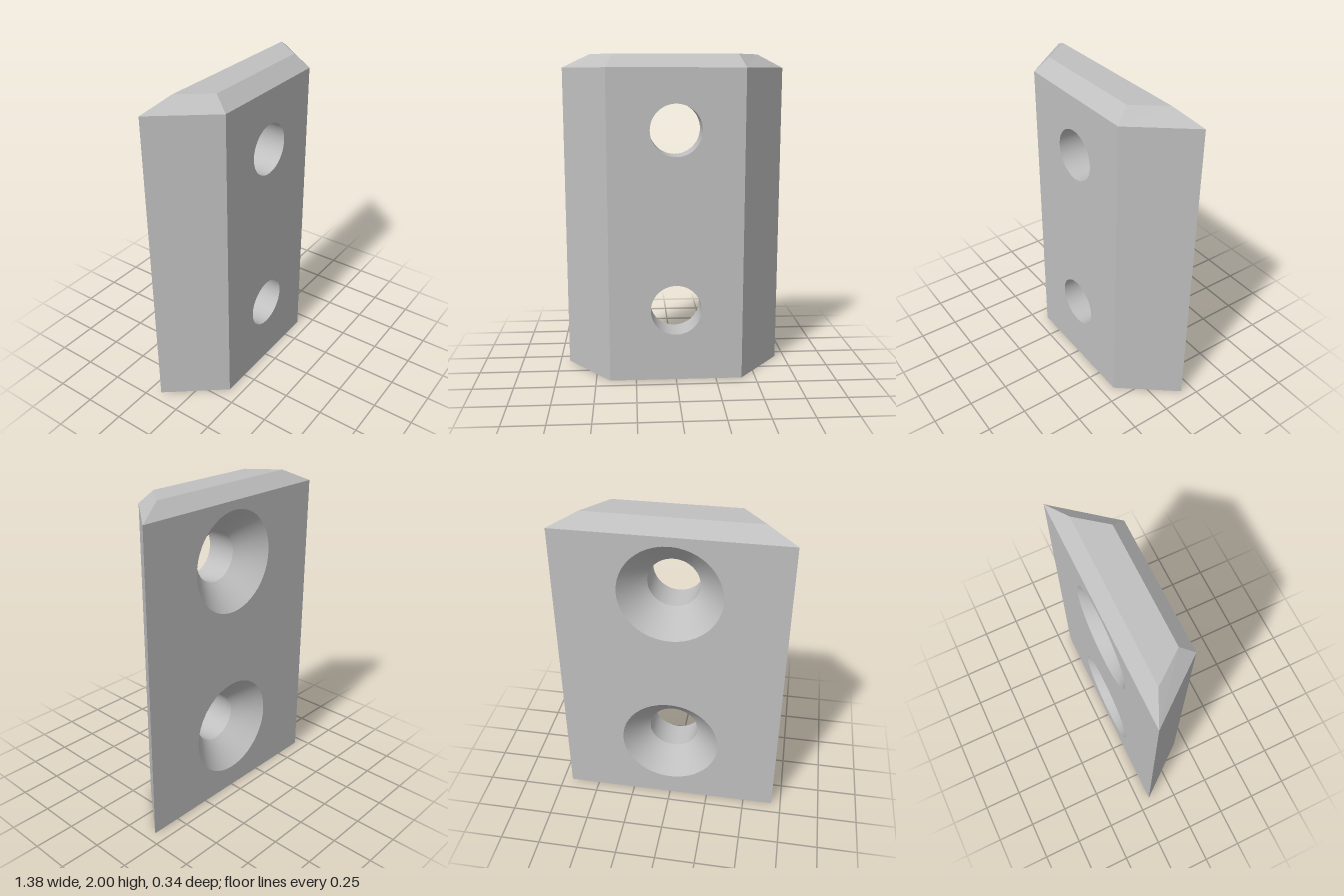
import * as THREE from 'three';

const BACK = -0.172, FRONT = 0.172, BACK_HALF = 0.69, FRONT_HALF = 0.413;
const SHOULDER = 1.92, TOP = 2;
const HOLE_Y = [0.45, 1.555], BORE_R = 0.157, SINK_R = 0.31, SINK_END = -0.019;

// Trapezoid outline at one height: front edge, then back edge
const ring = (y, frontHalf, front, backHalf, back) => [
  [-frontHalf, y, front], [frontHalf, y, front], [backHalf, y, back], [-backHalf, y, back],
];

// Separate flat quads, corners anticlockwise from outside
function quads(list) {
  const pos = list.flatMap(([a, b, c, d]) => [a, b, c, a, c, d].flat());
  const g = new THREE.BufferGeometry();
  g.setAttribute('position', new THREE.Float32BufferAttribute(pos, 3));
  g.computeVertexNormals();
  return g;
}

// Flat rectangle with the two round openings
function drilledFace(half, radius) {
  const s = new THREE.Shape([
    new THREE.Vector2(-half, 0), new THREE.Vector2(half, 0),
    new THREE.Vector2(half, SHOULDER), new THREE.Vector2(-half, SHOULDER),
  ]);
  for (const y of HOLE_Y) s.holes.push(new THREE.Path().absarc(0, y, radius, 0, Math.PI * 2, true));
  return new THREE.ShapeGeometry(s, 24);
}

// Inward-facing round wall along z
const holeWall = (r0, z0, r1, z1) => new THREE.LatheGeometry(
  [new THREE.Vector2(r0, z0), new THREE.Vector2(r1, z1)], 48).rotateX(Math.PI / 2);

export function createModel() {
  const model = new THREE.Group();
  model.name = 'drilledBlock';
  const grey = new THREE.MeshStandardMaterial({ color: 0xc0c0c0 });
  grey.name = 'light grey';
  const add = (name, geometry, y = 0, z = 0) => {
    const m = new THREE.Mesh(geometry, grey);
    m.name = name;
    m.position.set(0, y, z);
    model.add(m);
  };

  const base = ring(0, FRONT_HALF, FRONT, BACK_HALF, BACK);
  const shoulder = ring(SHOULDER, FRONT_HALF, FRONT, BACK_HALF, BACK);
  const top = ring(TOP, 0.375, 0.088, 0.515, -0.092);
  const wall = (lo, hi, i) => [lo[i], lo[(i + 1) % 4], hi[(i + 1) % 4], hi[i]];

  // Slanted sides, underside and bevelled top
  add('slantedSides', quads([1, 3].map((i) => wall(base, shoulder, i))));
  add('underside', quads([[...base].reverse()]));
  add('topBevel', quads([0, 1, 2, 3].map((i) => wall(shoulder, top, i))));
  add('topFace', quads([top]));

  // Drilled front and back
  add('frontFace', drilledFace(FRONT_HALF, BORE_R), 0, FRONT);
  add('backFace', drilledFace(BACK_HALF, SINK_R).rotateY(Math.PI), 0, BACK);

  // Straight bores with countersinks at the back
  for (const y of HOLE_Y) {
    add('bore', holeWall(BORE_R, FRONT, BORE_R, SINK_END), y);
    add('countersink', holeWall(BORE_R, SINK_END, SINK_R, BACK), y);
  }
  return model;
}
